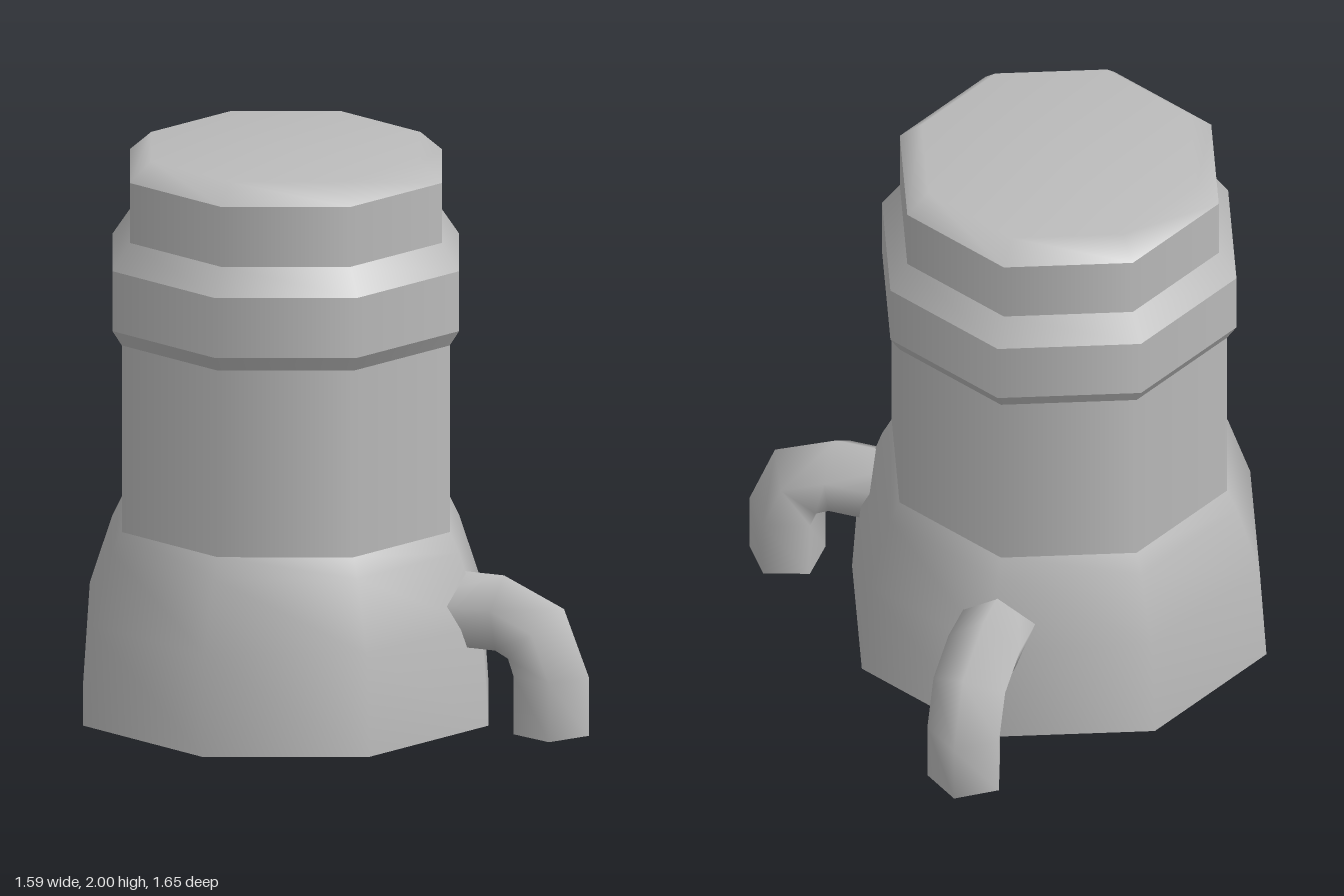
import * as THREE from 'three';

const CX = -0.04, CZ = 0.005;

// Eight-sided bands [radius, y]; each band is smooth inside, with a crease to the next.
const BANDS = {
  flaredBase: [[0.76, 0], [0.735, 0.36], [0.65, 0.61], [0.615, 0.68]],
  bodyFloor: [[0, 0.68], [0.615, 0.68]],
  bodyWall: [[0.615, 0.68], [0.615, 1.35]],
  collarUnderside: [[0.615, 1.35], [0.65, 1.405]],
  collarWall: [[0.65, 1.405], [0.65, 1.62]],
  collarShoulder: [[0.65, 1.62], [0.585, 1.715]],
  lidWall: [[0.585, 1.715], [0.585, 1.93]],
  lidTop: [[0.585, 1.93], [0.505, 2], [0, 2]],
};

// Five-sided elbow pipe: runs outward, bends down and ends open at the ground.
function elbowGeometry(foot, dir) {
  const up = new THREE.Vector3(0, 1, 0);
  const sides = 5, radius = 0.138;
  // distance inward from the foot, height, bend angle
  const rings = [
    [0.53, 0.405, 0], [0.18, 0.405, 0], [0.053, 0.348, Math.PI / 4],
    [0, 0.21, Math.PI / 2], [0, 0, Math.PI / 2],
  ];
  const pos = [], index = [];
  rings.forEach(([inset, y, bend], i) => {
    const c = foot.clone().addScaledVector(dir, -inset).addScaledVector(up, y);
    const n = up.clone().multiplyScalar(Math.cos(bend)).addScaledVector(dir, Math.sin(bend));
    const along = dir.clone().multiplyScalar(Math.cos(bend)).addScaledVector(up, -Math.sin(bend));
    const t = along.cross(n);
    for (let j = 0; j < sides; j++) {
      const a = (j / sides) * Math.PI * 2;
      const p = c.clone().addScaledVector(n, radius * Math.cos(a)).addScaledVector(t, radius * Math.sin(a));
      pos.push(p.x, p.y, p.z);
      if (i < rings.length - 1) {
        const v = i * sides + j, w = i * sides + (j + 1) % sides;
        index.push(v, w, v + sides, w, w + sides, v + sides);
      }
    }
  });
  const g = new THREE.BufferGeometry();
  g.setAttribute('position', new THREE.Float32BufferAttribute(pos, 3));
  g.setIndex(index);
  g.computeVertexNormals();
  return g;
}

export function createModel() {
  const model = new THREE.Group();
  model.name = 'pipedTank';
  const grey = new THREE.MeshStandardMaterial({ color: 0xbbbbbb, side: THREE.DoubleSide });
  grey.name = 'grey';

  // Tank body
  const tank = new THREE.Group();
  tank.name = 'tank';
  tank.position.set(CX, 0, CZ);
  for (const [name, profile] of Object.entries(BANDS)) {
    const points = profile.map(([r, y]) => new THREE.Vector2(r, y));
    const mesh = new THREE.Mesh(new THREE.LatheGeometry(points, 8), grey);
    mesh.name = name;
    tank.add(mesh);
  }
  model.add(tank);

  // Two drain pipes on the left side, front and back
  for (const [name, x, z] of [['frontPipe', 0.67, 0.702], ['backPipe', 0.655, -0.698]]) {
    const dir = new THREE.Vector3(1, 0, Math.sign(z)).normalize();
    const pipe = new THREE.Mesh(elbowGeometry(new THREE.Vector3(x, 0, z), dir), grey);
    pipe.name = name;
    model.add(pipe);
  }
  return model;
}
